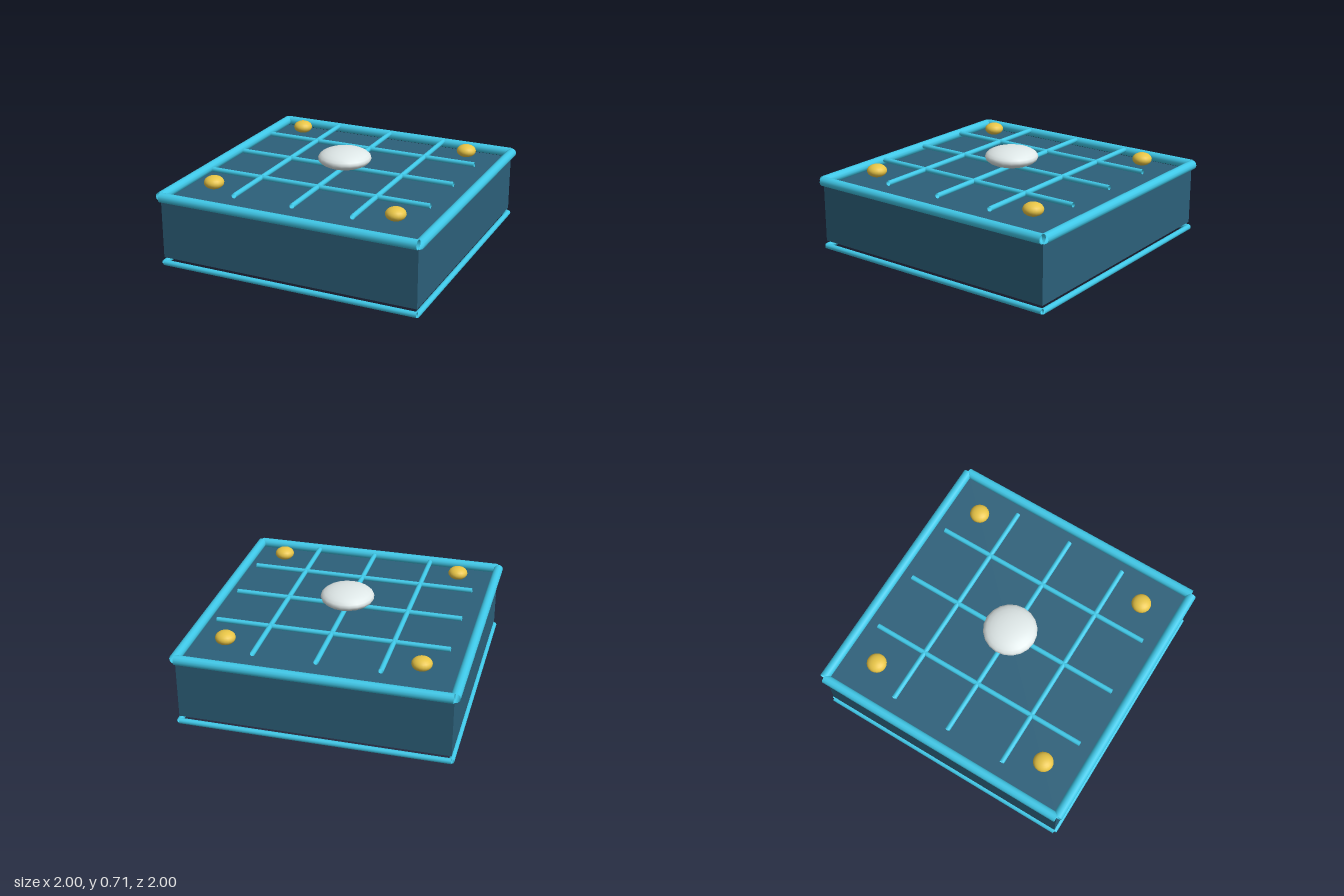
import * as THREE from 'three';

const paint = (color, side = THREE.FrontSide) => new THREE.MeshStandardMaterial({ color, side });

export function createModel() {
  const model = new THREE.Group();
  const bodyPaint = paint(0x2c607a);
  const tubePaint = paint(0x3fc8e8, THREE.DoubleSide);
  const goldPaint = paint(0xe8c547);
  const domePaint = paint(0xdfe8e8);

  const add = (parent, name, geometry, material, x, y, z) => {
    const mesh = new THREE.Mesh(geometry, material);
    mesh.name = name;
    mesh.position.set(x, y, z);
    parent.add(mesh);
    return mesh;
  };

  // open-ended horizontal tube running along x or z
  const tube = (parent, name, alongX, length, radius, x, y, z) => {
    const geometry = new THREE.CylinderGeometry(radius, radius, length, 12, 1, true);
    if (alongX) geometry.rotateZ(Math.PI / 2);
    else geometry.rotateX(Math.PI / 2);
    return add(parent, name, geometry, tubePaint, x, y, z);
  };

  // square frame of four tubes
  const frame = (name, offset, radius, y) => {
    const group = new THREE.Group();
    group.name = name;
    for (const s of [-1, 1]) {
      tube(group, name + 'Rail', true, 1.92, radius, 0, y, s * offset);
      tube(group, name + 'Rail', false, 1.92, radius, s * offset, y, 0);
    }
    model.add(group);
  };

  // flattened ball
  const pebble = (name, radius, height, material, x, y, z) => {
    const geometry = new THREE.SphereGeometry(radius, 20, 12);
    geometry.scale(1, height / radius, 1);
    add(model, name, geometry, material, x, y, z);
  };

  // slab body, with a slim gap above the lower frame
  add(model, 'body', new THREE.BoxGeometry(1.92, 0.42, 1.92), bodyPaint, 0, 0.27, 0);
  frame('topFrame', 0.965, 0.035, 0.516);
  frame('bottomFrame', 0.96, 0.02, 0.02);

  // raised lattice
  const lattice = new THREE.Group();
  lattice.name = 'lattice';
  for (const p of [-0.445, 0, 0.445]) {
    tube(lattice, 'latticeBar', true, 1.68, 0.018, 0, 0.568, p);
    tube(lattice, 'latticeBar', false, 1.68, 0.018, p, 0.568, 0);
  }
  model.add(lattice);

  // corner studs and central dome
  for (const x of [-0.69, 0.69])
    for (const z of [-0.69, 0.69]) pebble('cornerStud', 0.072, 0.047, goldPaint, x, 0.578, z);
  pebble('centreDome', 0.195, 0.071, domePaint, 0, 0.642, 0);

  return model;
}
